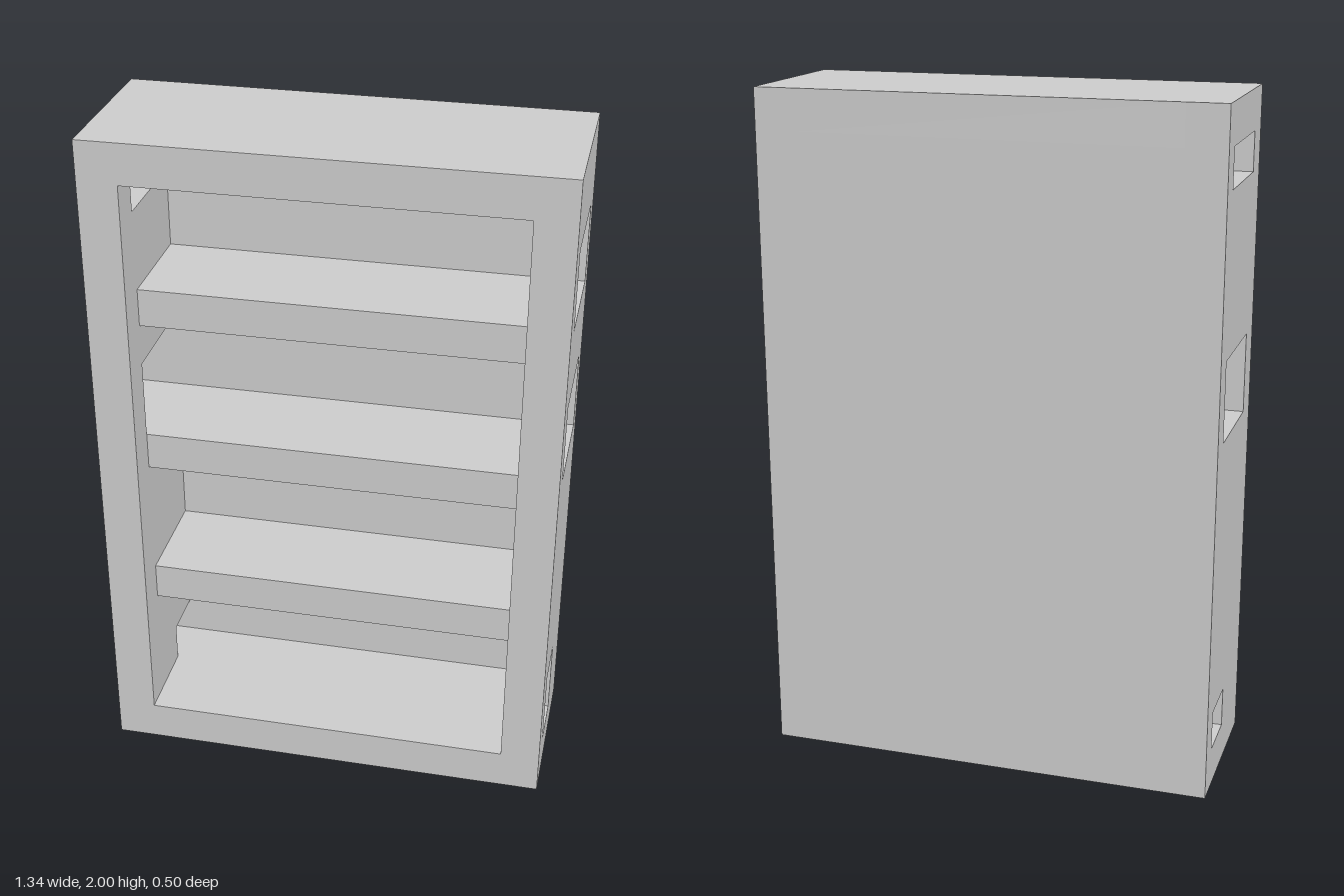
import * as THREE from 'three';

const W = 0.67, H = 2, D = 0.25;        // half width, height, half depth
const IN_X = 0.553, RAIL = 0.12;        // inner half width, rail thickness
const BACK = -0.17, SHELF_FRONT = 0.15; // inner back face, shelf front edge

const material = new THREE.MeshStandardMaterial({ color: 0xcccccc });

function addMesh(group, name, geometry) {
  const mesh = new THREE.Mesh(geometry, material);
  mesh.name = name;
  group.add(mesh);
}

// Box given by its extents on each axis
function span(x0, x1, y0, y1, z0, z1) {
  return new THREE.BoxGeometry(x1 - x0, y1 - y0, z1 - z0)
    .translate((x0 + x1) / 2, (y0 + y1) / 2, (z0 + z1) / 2);
}

function tracePath(path, z0, z1, y0, y1) {
  path.moveTo(z0, y0);
  path.lineTo(z1, y0);
  path.lineTo(z1, y1);
  path.lineTo(z0, y1);
  path.closePath();
  return path;
}

// Upright side panel drawn in z-y, with windows [z0, z1, y0, y1]
function sidePanel(outerX, windows) {
  const shape = tracePath(new THREE.Shape(), -D, D, 0, H);
  for (const w of windows) shape.holes.push(tracePath(new THREE.Path(), ...w));
  return new THREE.ExtrudeGeometry(shape, { depth: W - IN_X, bevelEnabled: false })
    .rotateY(-Math.PI / 2)
    .translate(outerX, 0, 0);
}

export function createModel() {
  const group = new THREE.Group();
  group.name = 'bookcase';

  // Side panels, each with three windows
  const middle = [BACK, SHELF_FRONT, 1.06, 1.295];
  addMesh(group, 'leftSide', sidePanel(W, [
    [BACK, SHELF_FRONT, 1.53, 1.765], middle, [-0.01, SHELF_FRONT, RAIL, 0.357],
  ]));
  addMesh(group, 'rightSide', sidePanel(-IN_X, [
    [BACK, SHELF_FRONT, 1.765, H - RAIL], middle, [BACK, -0.01, RAIL, 0.237],
  ]));

  // Top, base and back between the sides
  addMesh(group, 'top', span(-IN_X, IN_X, H - RAIL, H, -D, D));
  addMesh(group, 'base', span(-IN_X, IN_X, 0, RAIL, -D, D));
  addMesh(group, 'backPanel', span(-IN_X, IN_X, RAIL, H - RAIL, -D, BACK));

  // Shelves set back from the front edge
  for (let i = 0; i < 3; i++) {
    const top = 0.59 + 0.47 * i;
    addMesh(group, `shelf${i + 1}`, span(-IN_X, IN_X, top - 0.113, top, BACK, SHELF_FRONT));
  }
  return group;
}
